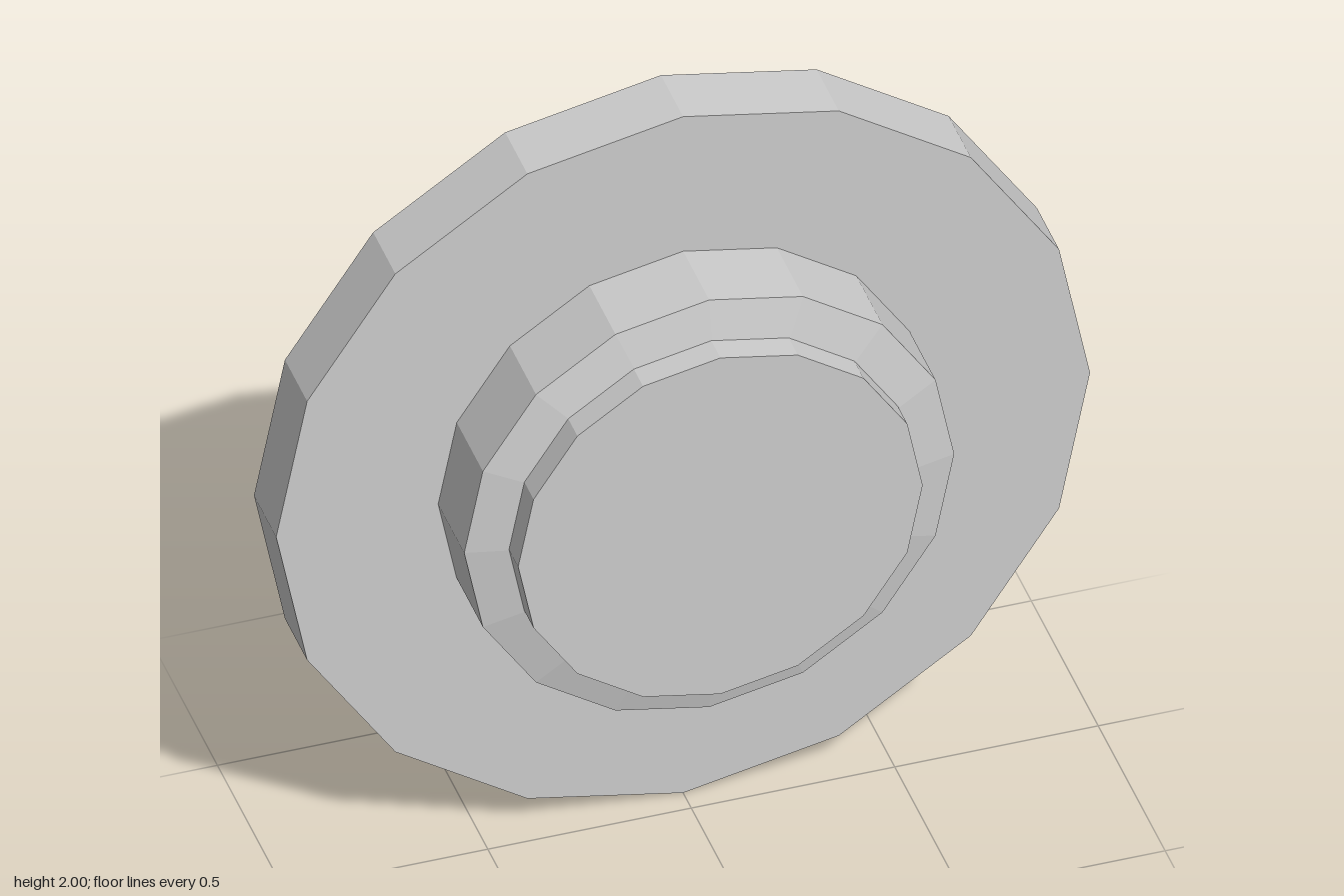
import * as THREE from 'three';

export function createModel() {
  const model = new THREE.Group();
  const material = new THREE.MeshStandardMaterial({ color: 0xcccccc, flatShading: true });

  // 16-sided section along z, from back z0 (radius r0) to front z1 (radius r1)
  function section(name, r0, r1, z0, z1, x = 0, y = 1) {
    const geometry = new THREE.CylinderGeometry(r1, r0, z1 - z0, 16);
    geometry.rotateX(Math.PI / 2);
    const mesh = new THREE.Mesh(geometry, material);
    mesh.name = name;
    mesh.position.set(x, y, (z0 + z1) / 2);
    model.add(mesh);
  }

  section('backPlate', 1, 1, -0.227, -0.061);
  section('hub', 0.602, 0.602, -0.061, 0.134);
  section('hubBevel', 0.602, 0.498, 0.134, 0.158);
  // Button sits a hair off centre
  section('button', 0.497, 0.497, 0.158, 0.227, -0.003, 1.003);

  return model;
}
